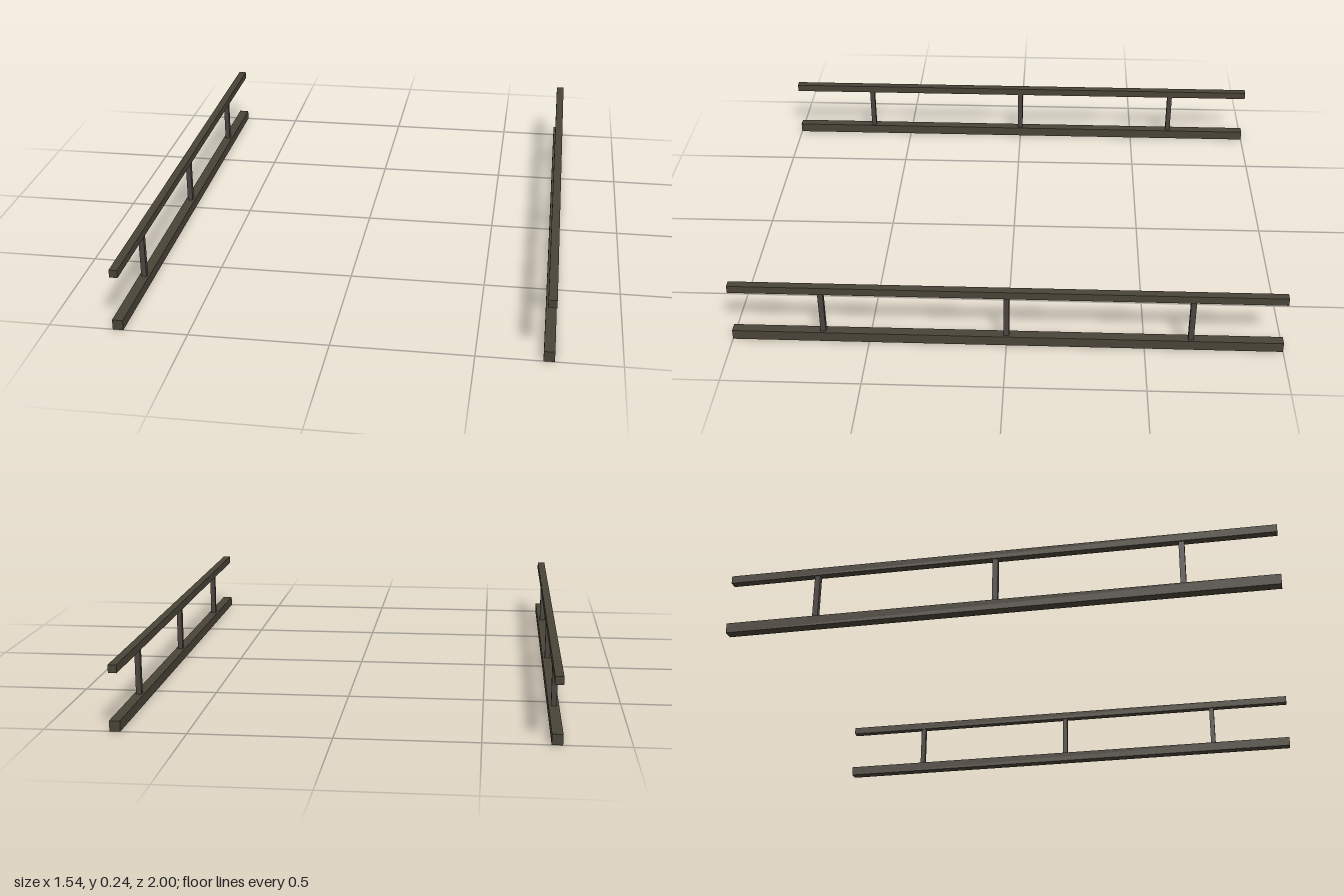
import * as THREE from 'three';

export function createModel() {
  const model = new THREE.Group();
  model.name = 'pairOfRailings';
  const railMaterial = new THREE.MeshStandardMaterial({ name: 'dark olive brown', color: 0x4a4438 });
  const postMaterial = new THREE.MeshStandardMaterial({ name: 'dark grey brown', color: 0x4c4440 });

  const addBox = (parent, name, material, width, depth, bottom, top, z = 0) => {
    const mesh = new THREE.Mesh(new THREE.BoxGeometry(width, top - bottom, depth), material);
    mesh.name = name;
    mesh.position.set(0, (bottom + top) / 2, z);
    parent.add(mesh);
  };

  // One railing per side: heavy base beam, slim handrail, three posts
  for (const side of [-1, 1]) {
    const railing = new THREE.Group();
    railing.name = side > 0 ? 'leftRailing' : 'rightRailing';
    railing.position.x = side * 0.75;
    addBox(railing, 'baseBeam', railMaterial, 0.038, 2, 0, 0.038);
    addBox(railing, 'handrail', railMaterial, 0.03, 2, 0.207, 0.236);
    for (const z of [-0.667, 0, 0.667]) {
      addBox(railing, 'post', postMaterial, 0.02, 0.02, 0.038, 0.207, z);
    }
    model.add(railing);
  }
  return model;
}
